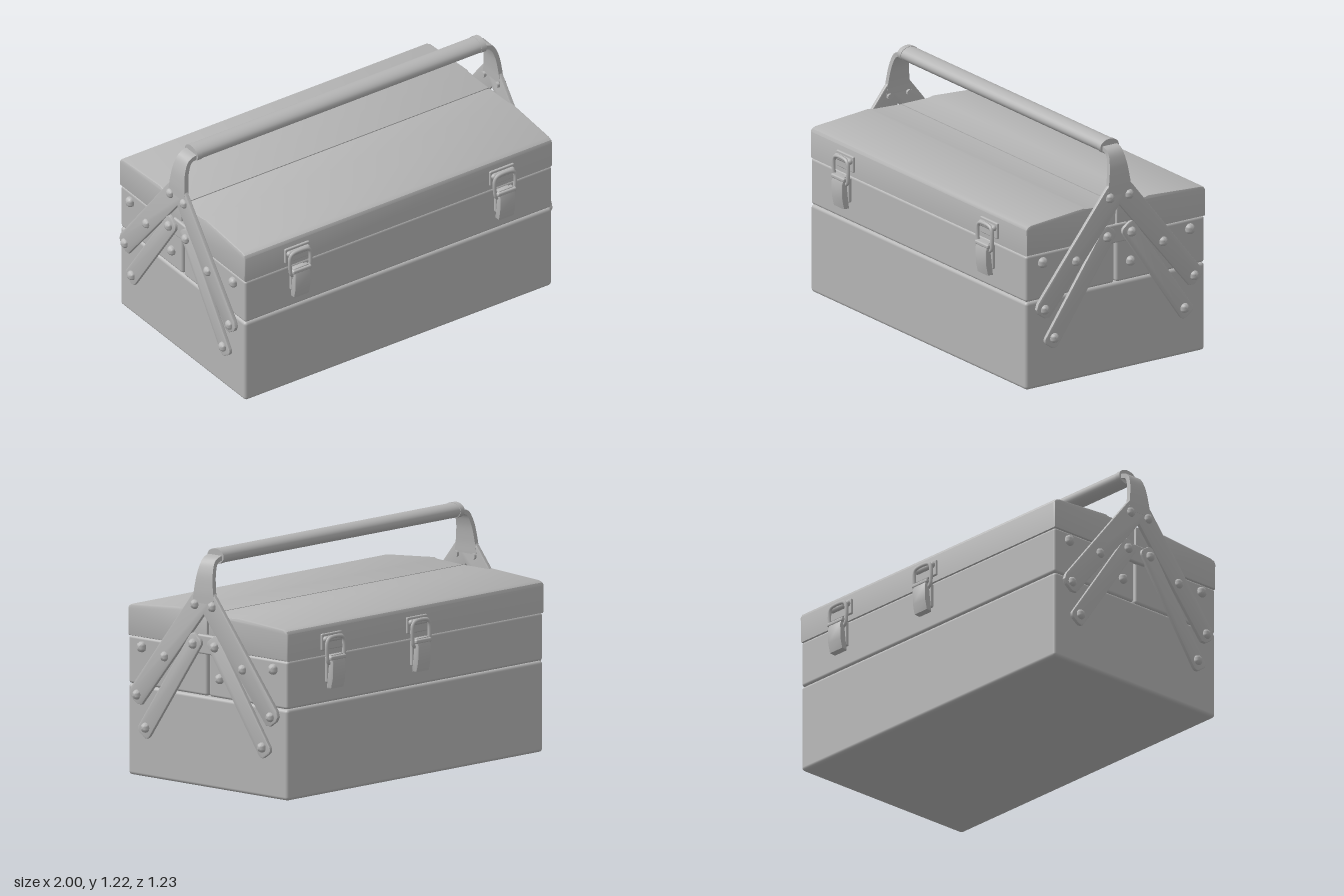
import * as THREE from 'three';
import { RoundedBoxGeometry } from 'three/addons/geometries/RoundedBoxGeometry.js';
import { toCreasedNormals } from 'three/addons/utils/BufferGeometryUtils.js';

const metal = new THREE.MeshStandardMaterial({ color: 0xb5b5b5 });
metal.name = 'grey metal';

function add(parent, name, geometry, x = 0, y = 0, z = 0) {
  const mesh = new THREE.Mesh(geometry, metal);
  mesh.name = name;
  mesh.position.set(x, y, z);
  parent.add(mesh);
  return mesh;
}

function box(parent, name, x, y, z, w, h, d, r = 0.015) {
  return add(parent, name, new RoundedBoxGeometry(w, h, d, 3, r), x, y, z);
}

// Outline given in (z, y), extruded along x and centred there, with bevelled rims
function plate(points, width, bevel) {
  const shape = new THREE.Shape(points.map(([z, y]) => new THREE.Vector2(z, y)));
  const g = new THREE.ExtrudeGeometry(shape, {
    depth: width - 2 * bevel, bevelEnabled: true, bevelThickness: bevel,
    bevelSize: bevel, bevelOffset: -bevel, bevelSegments: 2,
  });
  g.translate(0, 0, -width / 2 + bevel);
  g.rotateY(-Math.PI / 2);
  return toCreasedNormals(g, 0.6);
}

// Bar with rounded ends between two (z, y) pivots
function barOutline([z0, y0], [z1, y1], half, overhang) {
  const dir = new THREE.Vector2(z1 - z0, y1 - y0).normalize();
  const pts = [];
  const corner = half * 0.6;
  const ends = [[z1, y1, 1], [z0, y0, -1]];
  for (const [z, y, s] of ends) {
    for (const side of [-1, 1]) {
      for (let i = 0; i <= 4; i++) {
        const a = (side < 0 ? -Math.PI / 2 : 0) + (i / 4) * Math.PI / 2;
        const u = s * (overhang - corner + corner * Math.cos(a));
        const v = s * (side * (half - corner) + corner * Math.sin(a));
        pts.push([z + dir.x * u - dir.y * v, y + dir.y * u + dir.x * v]);
      }
    }
  }
  return pts;
}

// Domed rivet with a pin reaching back to the box wall
function rivet(parent, x, y, z, r = 0.026) {
  const profile = [[0, 0.022], [r * 0.5, 0.019], [r * 0.85, 0.011], [r, 0], [r, -0.006],
    [r * 0.6, -0.006], [r * 0.6, -0.036]].map(([a, b]) => new THREE.Vector2(a, b)).reverse();
  const mesh = add(parent, 'rivet', toCreasedNormals(new THREE.LatheGeometry(profile, 18), 0.8), x, y, z);
  mesh.rotation.z = -Math.PI / 2;
}

// Strap that bends from the arm plate up and inwards to the grip
function strapGeometry() {
  const curve = new THREE.CatmullRomCurve3([
    [0.968, 0.95], [0.966, 1.02], [0.953, 1.11], [0.925, 1.165], [0.86, 1.182],
  ].map(([x, y]) => new THREE.Vector3(x, y, 0)));
  const g = new THREE.BoxGeometry(0.024, 1, 1, 1, 20, 1);
  const p = g.attributes.position;
  for (let i = 0; i < p.count; i++) {
    const t = Math.min(1, Math.max(0, p.getY(i) + 0.5));
    const c = curve.getPointAt(t);
    const d = curve.getTangentAt(t);
    const off = p.getX(i);
    const width = 0.15 - 0.06 * Math.min(1, t * 1.4);
    p.setXYZ(i, c.x + d.y * off, c.y - d.x * off, p.getZ(i) * width);
  }
  return toCreasedNormals(g, 0.6);
}

function makeSide(sign) {
  const side = new THREE.Group();
  side.name = 'endLinkage';

  // Two long arms joined at the apex
  const half = [[0.43, 0.377], [0.46, 0.376], [0.5, 0.404], [0.513, 0.43], [0.503, 0.462],
    [0.085, 0.985], [0.068, 1.005]];
  const yoke = [[0, 0.893], ...half, ...half.map(([z, y]) => [-z, y]).reverse()];
  add(side, 'longArms', plate(yoke, 0.022, 0.006), 0.968);
  add(side, 'handleStrap', strapGeometry());

  // Short inner links, pivot block and rivets
  for (const m of [-1, 1]) {
    add(side, 'shortLink', plate(barOutline([0.075 * m, 0.735], [0.403 * m, 0.262], 0.046, 0.05), 0.02, 0.005), 0.966);
    for (const [z, y] of [[0.06, 0.94], [0.27, 0.645], [0.462, 0.425], [0.075, 0.735], [0.403, 0.262]]) {
      rivet(side, 0.978, y, z * m);
    }
    rivet(side, 0.952, 0.667, 0.455 * m, 0.028);
  }
  box(side, 'pivotBlock', 0.945, 0.735, 0, 0.03, 0.1, 0.13, 0.01);
  rivet(side, 0.952, 0.57, 0.087 * sign, 0.026);
  return side;
}

function makeLatch() {
  const latch = new THREE.Group();
  latch.name = 'latch';
  box(latch, 'catchPlate', 0, 0.785, 0.006, 0.15, 0.085, 0.016, 0.006);
  const hook = add(latch, 'catchHook', new THREE.CapsuleGeometry(0.016, 0.11, 4, 12), 0, 0.8, 0.02);
  hook.rotation.z = Math.PI / 2;

  // Wire loop
  const loop = [[-0.05, 0.68], [-0.062, 0.72], [-0.06, 0.79], [-0.045, 0.806], [0.045, 0.806],
    [0.06, 0.79], [0.062, 0.72], [0.05, 0.68]].map(([x, y]) => new THREE.Vector3(x, y, 0.036));
  add(latch, 'wireLoop', new THREE.TubeGeometry(new THREE.CatmullRomCurve3(loop, true), 48, 0.01, 8, true));

  // Lever and its hinge
  box(latch, 'hingePlate', 0, 0.64, 0.008, 0.085, 0.13, 0.02, 0.006);
  const lever = add(latch, 'lever', plate([[0.018, 0.545], [0.052, 0.548], [0.064, 0.6], [0.066, 0.68],
    [0.05, 0.72], [0.03, 0.72], [0.032, 0.66]], 0.095, 0.007));
  lever.position.z = -0.002;
  box(latch, 'leverRidge', 0, 0.705, 0.048, 0.115, 0.022, 0.026, 0.008);
  return latch;
}

export function createModel() {
  const model = new THREE.Group();
  model.name = 'toolbox';

  // Base and the two upper trays
  box(model, 'baseBox', 0, 0.234, 0.002, 1.89, 0.468, 1.106, 0.018);
  for (const m of [-1, 1]) {
    box(model, 'tray', 0, 0.592, 0.279 * m + 0.002, 1.886, 0.246, 0.545, 0.014);

    // Lid half with a sloping top
    const ridge = m > 0 ? 0.906 : 0.898;
    const lid = [[0.004, 0.715], [0.553, 0.715], [0.555, 0.855], [0.547, 0.87], [0.525, 0.879],
      [0.2, ridge], [0.18, ridge - 0.006], [0.004, 0.892]].map(([z, y]) => [z * m, y]);
    add(model, 'lid', plate(lid, 1.896, 0.01));
  }
  box(model, 'lidSeam', 0, 0.86, 0, 1.87, 0.055, 0.03, 0.005);

  // Linkage at both ends
  for (const s of [1, -1]) {
    const side = makeSide(-1 * s * s * s);
    if (s < 0) side.rotation.y = Math.PI;
    model.add(side);
  }

  // Grip, flattened a little, with a collar at each end
  const grip = add(model, 'grip', new THREE.CylinderGeometry(0.054, 0.054, 1.76, 28), 0, 1.182, 0);
  grip.rotation.z = Math.PI / 2;
  grip.scale.x = 0.7;
  for (const m of [-1, 1]) {
    const collar = add(model, 'gripCollar', new THREE.CylinderGeometry(0.057, 0.057, 0.03, 28), 0.875 * m, 1.182, 0);
    collar.rotation.z = Math.PI / 2;
    collar.scale.x = 0.7;
  }

  // Two latches on the front, two on the back
  for (const [x, m] of [[-0.63, 1], [0.63, 1], [0, -1], [0.63, -1]]) {
    const latch = makeLatch();
    latch.position.set(x, 0, 0.552 * m);
    if (m < 0) latch.rotation.y = Math.PI;
    model.add(latch);
  }
  return model;
}
